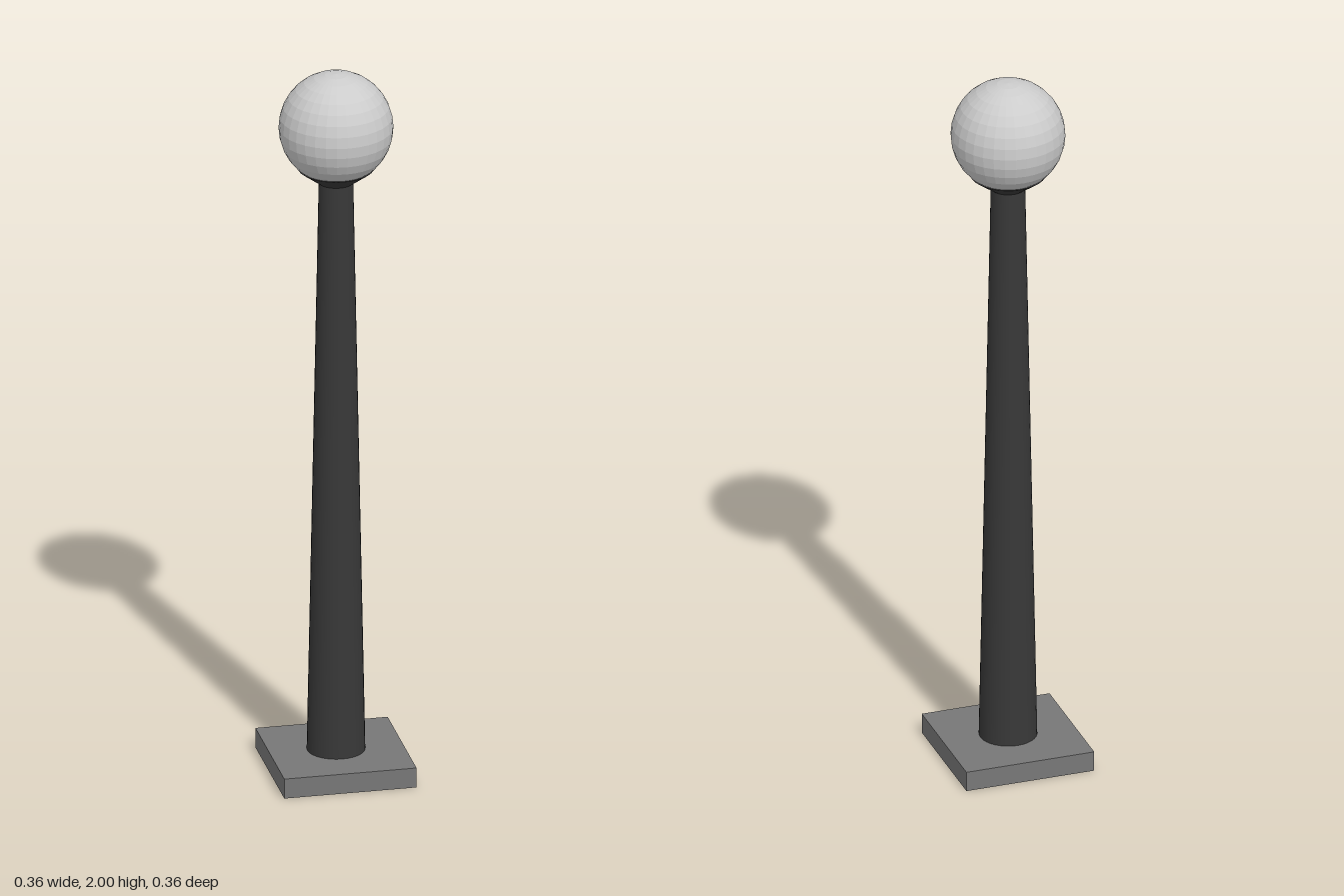
import * as THREE from 'three';

export function createModel() {
  const model = new THREE.Group();
  const darkMetal = new THREE.MeshStandardMaterial({ color: 0x383838 });
  const stone = new THREE.MeshStandardMaterial({ color: 0x777777 });
  const glass = new THREE.MeshStandardMaterial({ color: 0xcccccc, flatShading: true });

  const add = (name, geometry, material, y) => {
    const mesh = new THREE.Mesh(geometry, material);
    mesh.name = name;
    mesh.position.y = y;
    model.add(mesh);
  };

  // square foot plate
  const baseHeight = 0.056;
  add('base', new THREE.BoxGeometry(0.36, baseHeight, 0.36), stone, baseHeight / 2);

  // tapered post
  const postTop = 1.69;
  const postHeight = postTop - baseHeight;
  add('post', new THREE.CylinderGeometry(0.046, 0.078, postHeight, 32), darkMetal, baseHeight + postHeight / 2);

  // flared cup that holds the globe
  const cupHeight = 0.04;
  add('globeHolder', new THREE.CylinderGeometry(0.102, 0.048, cupHeight, 32), darkMetal, postTop + cupHeight / 2);

  // faceted lamp globe
  const globeRadius = 0.153;
  add('globe', new THREE.SphereGeometry(globeRadius, 32, 16), glass, 2 - globeRadius);

  return model;
}
